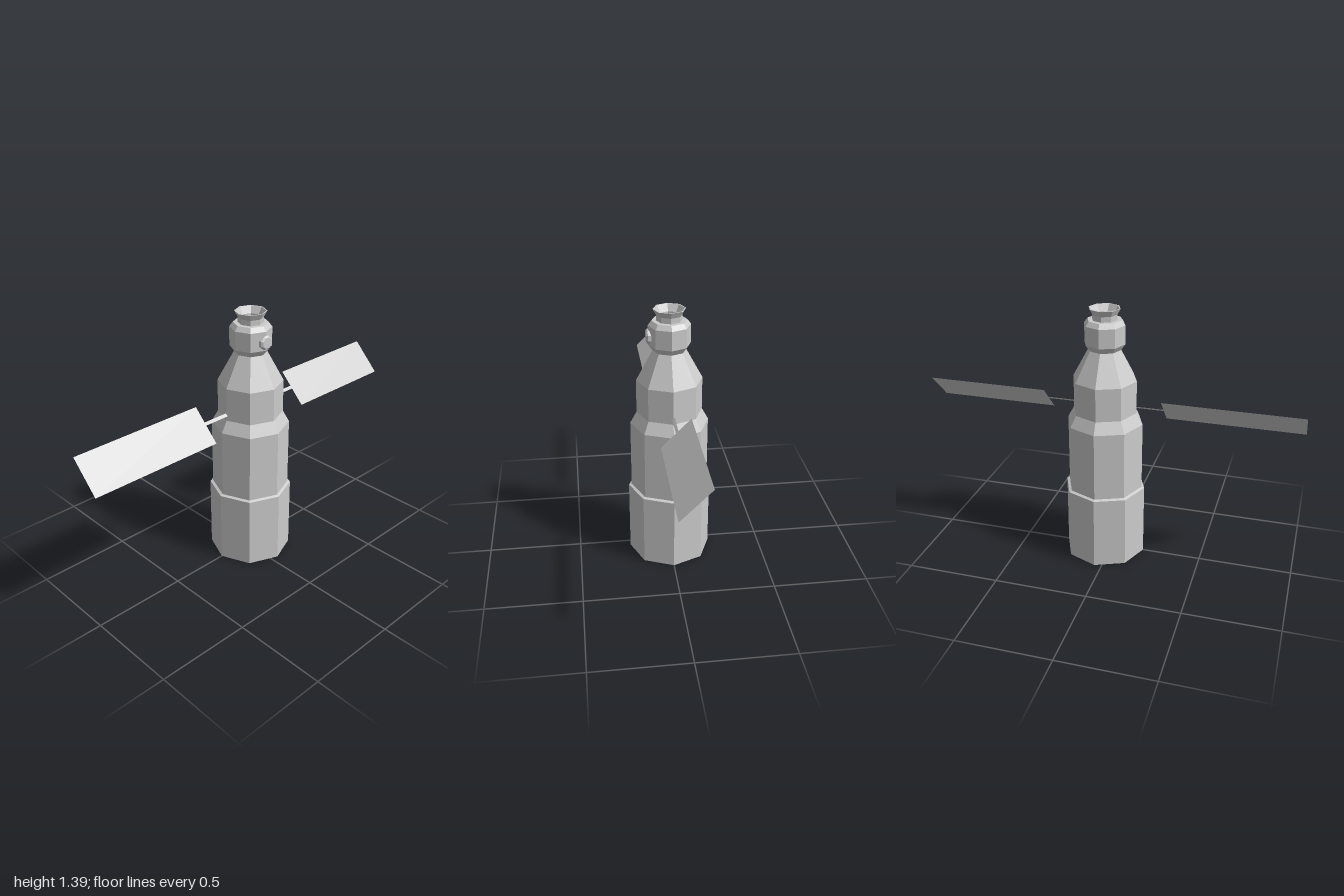
import * as THREE from 'three';

const grey = new THREE.MeshStandardMaterial({ color: 0xcccccc, flatShading: true });
const greySheet = new THREE.MeshStandardMaterial({ color: 0xcccccc, flatShading: true, side: THREE.DoubleSide });

// Octagonal turned part; profile is [radius, height] from bottom to top
function turned(name, profile, material = grey) {
  const points = profile.map(([r, y]) => new THREE.Vector2(r, y));
  const mesh = new THREE.Mesh(new THREE.LatheGeometry(points, 8), material);
  mesh.name = name;
  return mesh;
}

// Thin sheet between two x positions, tilted back by 45 degrees
function sheet(name, x0, x1, width, y, z) {
  const mesh = new THREE.Mesh(new THREE.PlaneGeometry(x1 - x0, width), greySheet);
  mesh.rotation.x = -Math.PI / 4;
  mesh.position.set((x0 + x1) / 2, y, z);
  mesh.name = name;
  return mesh;
}

export function createModel() {
  const model = new THREE.Group();
  model.name = 'spaceStation';

  const core = new THREE.Group();
  core.name = 'core';
  core.position.x = 0.04;
  model.add(core);

  // Stepped hull with tapered shoulder
  core.add(turned('hull', [
    [0, 0], [0.22, 0], [0.22, 0.398], [0.205, 0.404], [0.205, 0.775],
    [0.171, 0.837], [0.171, 1.015], [0.085, 1.175], [0, 1.175],
  ]));

  // Docking node on top of the hull
  core.add(turned('dockingNode', [
    [0.085, 1.175], [0.108, 1.207], [0.108, 1.307], [0.09, 1.331], [0, 1.331],
  ]));

  // Flared open docking collar
  core.add(turned('dockingCollar', [
    [0.066, 1.331], [0.066, 1.359], [0.083, 1.39], [0.077, 1.39], [0.056, 1.355], [0.056, 1.331],
  ], greySheet));

  // Round hatch on the front of the node
  const hatch = turned('frontHatch', [
    [0.038, 0.08], [0.038, 0.11], [0.03, 0.118], [0, 0.118],
  ]);
  hatch.rotation.set(Math.PI / 2, Math.PI / 8, 0);
  hatch.position.y = 1.25;
  core.add(hatch);

  // Solar panels and their booms
  model.add(sheet('rightSolarPanel', -1, -0.275, 0.212, 0.865, 0.005));
  model.add(sheet('leftSolarPanel', 0.353, 1, 0.212, 0.865, 0.005));
  model.add(sheet('rightBoom', -0.275, -0.1, 0.018, 0.87, 0));
  model.add(sheet('leftBoom', 0.18, 0.353, 0.018, 0.87, 0));

  return model;
}
